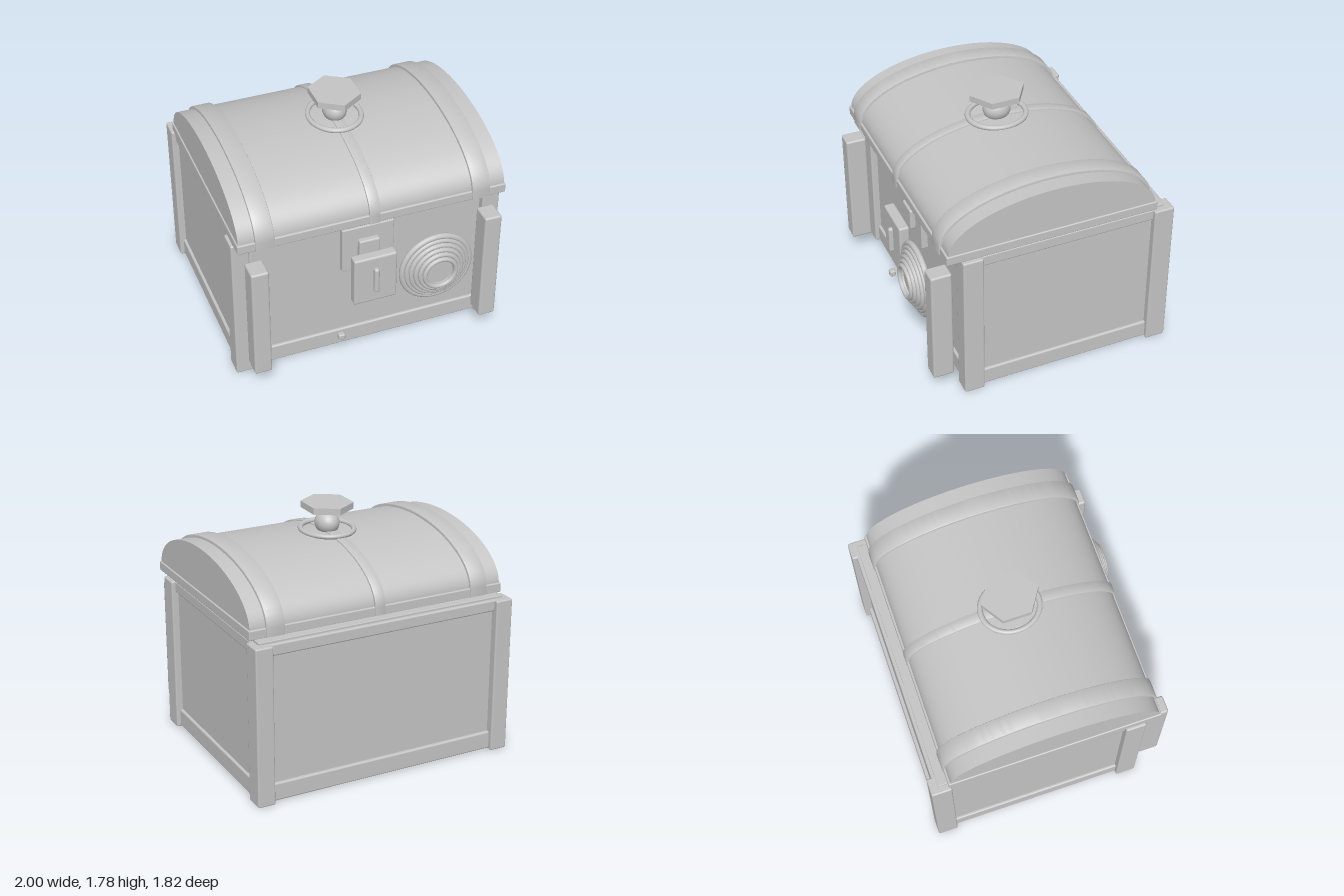
import * as THREE from 'three';
import { toCreasedNormals } from 'three/addons/utils/BufferGeometryUtils.js';
import { RoundedBoxGeometry } from 'three/addons/geometries/RoundedBoxGeometry.js';

export function createModel() {
  const model = new THREE.Group();
  model.name = 'treasureChest';
  const grey = new THREE.MeshStandardMaterial({ color: 0xc4c4c4 });
  grey.name = 'plain grey';

  const add = (name, geometry, parent = model) => {
    const mesh = new THREE.Mesh(geometry, grey);
    mesh.name = name;
    parent.add(mesh);
    return mesh;
  };

  // Box given by its limits on each axis, with softened edges
  const box = (name, x0, x1, y0, y1, z0, z1, r = 0.012) => {
    const g = new RoundedBoxGeometry(x1 - x0, y1 - y0, z1 - z0, 2, r);
    return add(name, g.translate((x0 + x1) / 2, (y0 + y1) / 2, (z0 + z1) / 2));
  };

  // Slice of the arched lid: half ellipse with short legs, extruded along x
  const arch = (name, x0, x1, halfDepth, rise, foot, bevel) => {
    const base = 1.24, a = halfDepth - bevel, b = rise - bevel;
    const shape = new THREE.Shape();
    shape.moveTo(-a, foot + bevel);
    shape.lineTo(a, foot + bevel);
    shape.lineTo(a, base);
    shape.absellipse(0, base, a, b, 0, Math.PI, false, 0);
    shape.closePath();
    const g = new THREE.ExtrudeGeometry(shape, {
      depth: x1 - x0 - 2 * bevel, curveSegments: 40, bevelEnabled: bevel > 0,
      bevelThickness: bevel, bevelSize: bevel, bevelSegments: 2,
    });
    g.rotateY(Math.PI / 2).translate(x0 + bevel, 0, 0);
    return add(name, toCreasedNormals(g, 0.6));
  };

  // Body
  box('bodyPanels', -0.95, 0.95, 0.01, 1.18, -0.85, 0.62, 0.005);
  for (const [x0, x1] of [[-1, -0.87], [0.87, 1]]) {
    box('frontCornerPost', x0, x1, 0, 1.165, 0.52, 0.67);
    box('backCornerPost', x0, x1, 0, 1.165, -0.91, -0.76);
  }
  for (const [y0, y1] of [[0.008, 0.14], [1.08, 1.165]]) {
    box('frontRail', -0.9, 0.9, y0, y1, 0.54, 0.64);
    box('backRail', -0.9, 0.9, y0, y1, -0.875, -0.78);
    box('leftRail', 0.88, 0.97, y0, y1, -0.8, 0.56);
    box('rightRail', -0.97, -0.88, y0, y1, -0.8, 0.56);
  }

  // Lid
  box('lidRim', -0.985, 0.985, 1.175, 1.245, -0.78, 0.78, 0.008);
  arch('lidDome', -0.975, 0.975, 0.765, 0.33, 1.2, 0);
  for (const x of [-0.793, 0.793]) arch('lidStrap', x - 0.068, x + 0.068, 0.787, 0.352, 1.178, 0.008);
  arch('centreStrap', -0.04, 0.04, 0.784, 0.34, 1.172, 0.004);

  // Upright bars standing ahead of the front
  for (const x of [-0.862, 0.862]) box('frontBar', x - 0.064, x + 0.064, 0.147, 1.047, 0.72, 0.875, 0.016);

  // Lock
  box('lockBackPlate', -0.195, 0.192, 0.7, 1.068, 0.61, 0.667, 0.008);
  box('hasp', -0.08, 0.077, 0.805, 0.968, 0.65, 0.705, 0.014);
  box('lockBody', -0.163, 0.16, 0.505, 0.9, 0.74, 0.82, 0.016);
  box('keyhole', -0.02, 0.02, 0.597, 0.807, 0.8, 0.85, 0.018);
  box('stud', -0.26, -0.21, 0.163, 0.213, 0.735, 0.78, 0.012);

  // Stepped round boss beside the lock
  const boss = new THREE.Group();
  boss.name = 'ringedBoss';
  boss.position.set(0.46, 0.68, 0);
  model.add(boss);
  const profile = [[0, 0.79], [0.26, 0.79], [0.26, 0.815], [0.13, 0.89], [0.105, 0.885], [0.105, 0.87], [0, 0.87]];
  const core = new THREE.LatheGeometry(profile.map(([r, z]) => new THREE.Vector2(r, z)), 48);
  add('bossCore', toCreasedNormals(core.rotateX(Math.PI / 2), 0.5), boss);
  for (let i = 0; i < 6; i++) {
    const ring = new THREE.TorusGeometry(0.258 - 0.028 * i, i ? 0.017 : 0.022, 12, 56);
    add('bossRing', ring.translate(0, 0, 0.806 + 0.0175 * i), boss);
  }

  // Handle on top: ring, knob and floating six-sided cap
  const ring = new THREE.TorusGeometry(0.187, 0.018, 12, 48).rotateX(Math.PI / 2);
  add('knobRing', ring.scale(1, 1, 1.12).translate(0, 1.578, 0));
  add('knob', new THREE.SphereGeometry(0.087, 24, 16).scale(1, 1, 1.17).translate(0, 1.622, 0));
  const cap = new THREE.CylinderGeometry(0.185, 0.185, 0.047, 6).scale(1, 1, 1.11);
  add('knobCap', toCreasedNormals(cap, 0.5).translate(0, 1.752, 0));

  return model;
}
